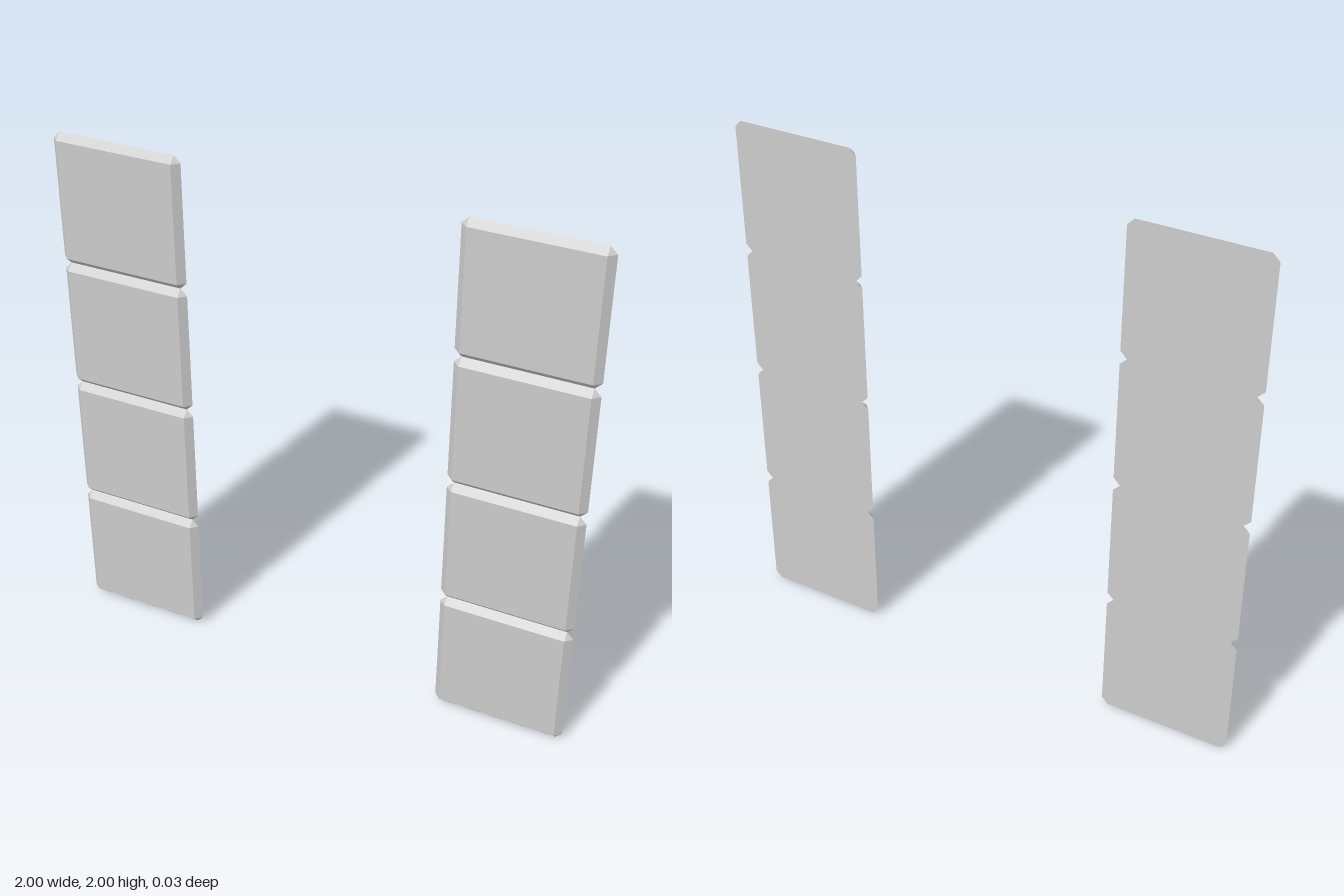
import * as THREE from 'three';
import { ConvexGeometry } from 'three/addons/geometries/ConvexGeometry.js';

const SIZE = 0.5;      // tile pitch and overall width
const BEVEL = 0.025;   // inset of the front face and corner cut of the back
const DEPTH = 0.025;
const TILES = 4;

// Bevelled tile: square front face, larger back face with clipped corners
function tileGeometry() {
  const outer = SIZE / 2;
  const inner = outer - BEVEL;
  const points = [];
  for (const sx of [-1, 1]) {
    for (const sy of [-1, 1]) {
      points.push(
        new THREE.Vector3(sx * inner, sy * inner, DEPTH / 2),
        new THREE.Vector3(sx * outer, sy * inner, -DEPTH / 2),
        new THREE.Vector3(sx * inner, sy * outer, -DEPTH / 2)
      );
    }
  }
  return new ConvexGeometry(points);
}

export function createModel() {
  const model = new THREE.Group();
  model.name = 'tilePillars';
  const material = new THREE.MeshStandardMaterial({ color: 0xcccccc, flatShading: true });
  const geometry = tileGeometry();

  // Two matching columns of stacked tiles
  for (const side of [-1, 1]) {
    const column = new THREE.Group();
    column.name = side > 0 ? 'leftColumn' : 'rightColumn';
    column.position.x = side * 0.75;
    for (let i = 0; i < TILES; i++) {
      const tile = new THREE.Mesh(geometry, material);
      tile.name = `tile${i + 1}`;
      tile.position.y = (i + 0.5) * SIZE;
      column.add(tile);
    }
    model.add(column);
  }
  return model;
}
